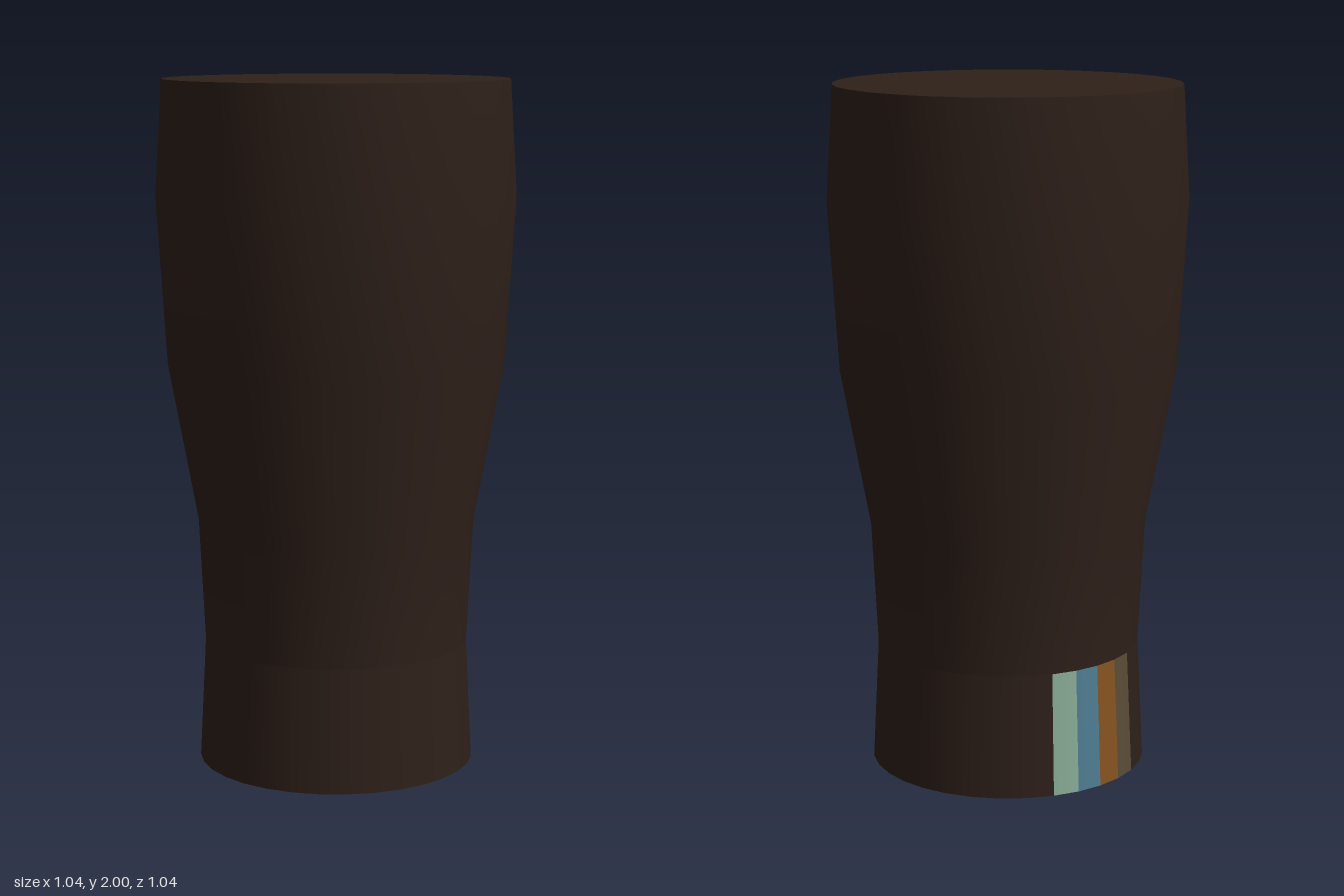
import * as THREE from 'three';

const SIDES = 32;
const STEP = (Math.PI * 2) / SIDES;
// Outer silhouette as [radius, height]
const PROFILE = [[0.405, 0], [0.387, 0.36], [0.405, 0.72], [0.49, 1.18], [0.52, 1.67], [0.5, 2]];

const material = (color) => new THREE.MeshStandardMaterial({ color });

function lathe(name, profile, mat, firstSide = 0, sides = SIDES) {
  const points = profile.map(([r, y]) => new THREE.Vector2(r, y));
  const mesh = new THREE.Mesh(new THREE.LatheGeometry(points, sides, firstSide * STEP, sides * STEP), mat);
  mesh.name = name;
  return mesh;
}

function disc(name, radius, y, tilt, mat) {
  const mesh = new THREE.Mesh(new THREE.CircleGeometry(radius, SIDES), mat);
  mesh.name = name;
  mesh.rotation.x = tilt;
  mesh.position.y = y;
  return mesh;
}

export function createModel() {
  const model = new THREE.Group();
  model.name = 'pintGlass';
  const dark = material(0x2e2019);

  // Upper wall, and foot wall left open where the coloured stripes sit
  const foot = PROFILE.slice(0, 2);
  model.add(lathe('upperWall', PROFILE.slice(1), dark));
  model.add(lathe('footWall', foot, dark, 26, 28));

  // Four coloured stripes around the -x side of the foot, one per facet
  [0x8aad97, 0x4f7c92, 0x85531f, 0x5a4b36].forEach((color, i) => {
    model.add(lathe('stripe' + (i + 1), foot, material(color), 22 + i, 1));
  });

  // Flat ends
  model.add(disc('topSurface', 0.5, 2, -Math.PI / 2, dark));
  model.add(disc('base', 0.405, 0, Math.PI / 2, dark));
  return model;
}
